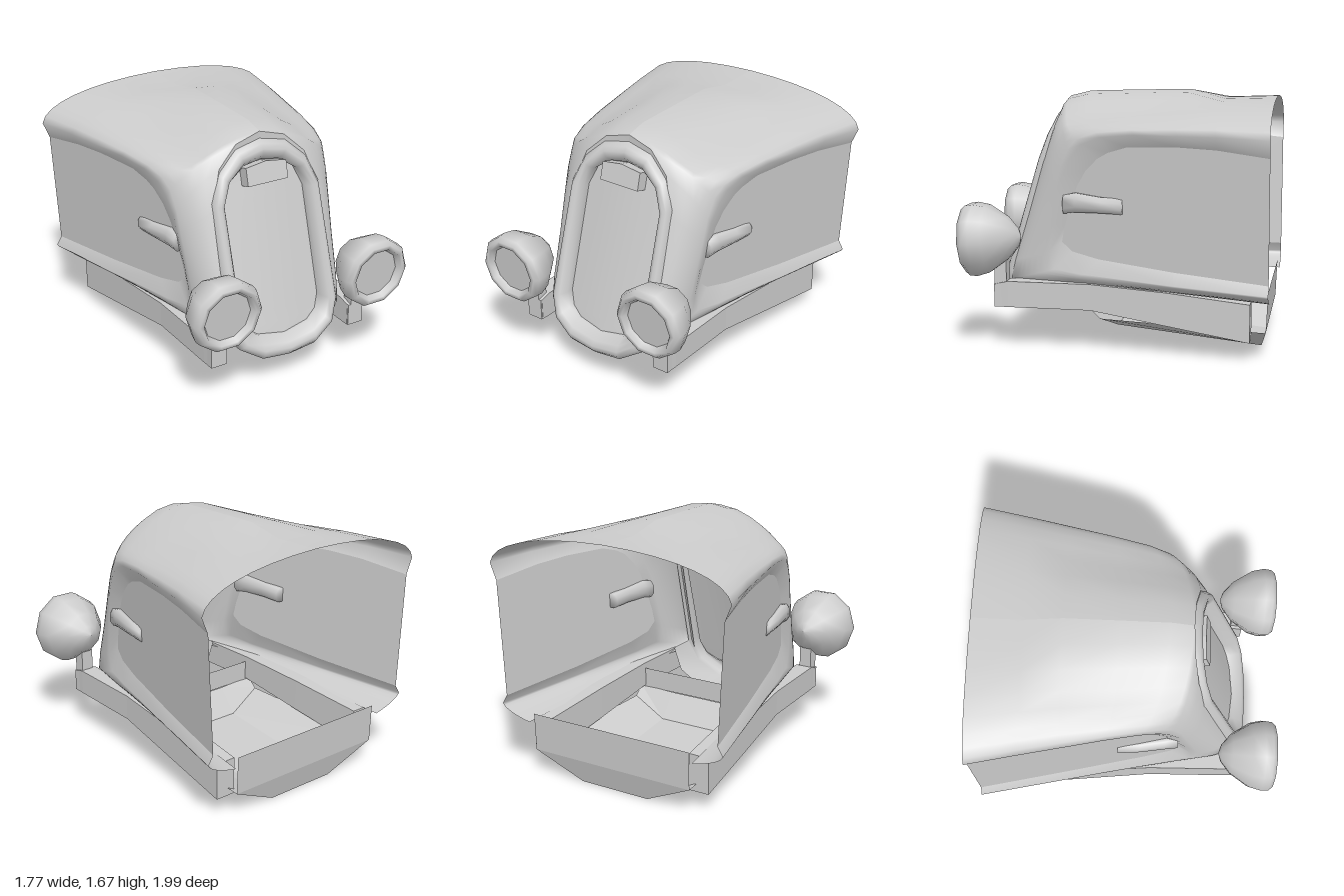
import * as THREE from 'three';

const mat = new THREE.MeshStandardMaterial({ color: 0xcccccc, side: THREE.DoubleSide });

function mesh(name, geometry) {
  const m = new THREE.Mesh(geometry, mat);
  m.name = name;
  return m;
}

function box(name, w, h, d, x, y, z) {
  const m = mesh(name, new THREE.BoxGeometry(w, h, d));
  m.position.set(x, y, z);
  return m;
}

// Skin a grid of cross-sections; each row is a list of [x, y, z]
function loft(rows, { closed = false, flat = false, caps = false } = {}) {
  const n = rows[0].length, index = [];
  for (let i = 0; i < rows.length - 1; i++) {
    for (let j = 0; j < (closed ? n : n - 1); j++) {
      const a = i * n + j, b = i * n + (j + 1) % n;
      index.push(a, b, a + n, b, b + n, a + n);
    }
  }
  if (caps) {
    const last = (rows.length - 1) * n;
    for (let j = 1; j < n - 1; j++) index.push(0, j + 1, j, last, last + j, last + j + 1);
  }
  let g = new THREE.BufferGeometry();
  g.setAttribute('position', new THREE.Float32BufferAttribute(rows.flat(2), 3));
  g.setIndex(index);
  if (flat) g = g.toNonIndexed();
  g.computeVertexNormals();
  return g;
}

const lerp = THREE.MathUtils.lerp;
const panelX = (z, y) => 0.625 - 0.215 * z - 0.05 * (1.3 - y); // side panel plane
const noseZ = (y) => 0.81 - 0.295 * (y - 0.29);               // leaning grille plane

// Hood columns around the side opening: outer edge x,y,z | ridge z,y | opening z,y
const columns = [
  [0, 1.63, -1, -1, 1.40, -1, 1.29],
  [0, 1.62, -0.67, -0.67, 1.41, -0.67, 1.33],
  [0, 1.60, -0.42, -0.42, 1.41, -0.42, 1.34],
  [0, 1.555, -0.05, -0.15, 1.41, -0.10, 1.33],
  [0, 1.525, 0.26, 0.07, 1.39, 0.03, 1.29],
  [0, 1.50, 0.40, 0.20, 1.34, 0.10, 1.25],
  [0.18, 1.57, 0.41, 0.27, 1.26, 0.18, 1.17],
  [0.32, 1.44, 0.44, 0.33, 1.14, 0.24, 1.07],
  [0.40, 1.20, 0.50, 0.36, 1.00, 0.28, 0.96],
  [0.41, 0.85, 0.60, 0.40, 0.82, 0.33, 0.80],
  [0.42, 0.55, 0.69, 0.43, 0.64, 0.35, 0.70],
  [0.42, 0.42, 0.72, 0.40, 0.52, 0.28, 0.64],
  [0.50, 0.42, 0.35, 0.20, 0.50, 0.10, 0.60],
  [0.56, 0.40, -0.35, -0.40, 0.47, -0.40, 0.55],
  [0.62, 0.36, -1, -1, 0.45, -1, 0.51],
];
const crown = [0, 0, 0.07, 0.108, 0.13, 0.12]; // raised centre of the first columns

function hoodHalf() {
  const rows = columns.map(([ox, oy, oz, bz, by, iz, iy], i) => {
    const o = new THREE.Vector3(ox, oy, oz);
    const b = new THREE.Vector3(panelX(bz, by) + 0.04, by, bz);
    const blend = (tx, ty, tz) => new THREE.Vector3(lerp(o.x, b.x, tx), lerp(o.y, b.y, ty), lerp(o.z, b.z, tz));
    // Broad shoulder over the top, softer corner around the nose
    const [c1, c2] = i < 6
      ? [blend(0.62, 0.02, 0.1), blend(0.97, 0.43, 0.55)]
      : [blend(0.52, 0.22, 0.14), blend(0.92, 0.6, 0.55)];
    const row = new THREE.CubicBezierCurve3(o, c1, c2, b).getPoints(8).map(({ x, y, z }) =>
      [x, y + (crown[i] || 0) * Math.max(0, 1 - (x / 0.43) ** 2), z]);
    row.push([panelX(iz, iy), iy, iz]);
    return row;
  });
  return mesh('hoodHalf', loft(rows));
}

// Front edge of the hood turned in to meet the grille frame
function hoodCollar() {
  const edge = columns.slice(5, 12).map(([x, y, z], i) => [x, i === 0 ? y + crown[5] : y, z]);
  return mesh('hoodCollar', loft([edge, edge.map(([x, y, z]) => [x * 0.94, y - 0.05, z])]));
}

// Flat panel filling the side opening
function sidePanel() {
  const loop = columns.map(([, , , , , z, y]) => [panelX(z, y), y, z]);
  const hub = loop.map(() => [panelX(-0.5, 0.9), 0.9, -0.5]);
  return mesh('sidePanel', loft([loop, hub], { closed: true }));
}

// Half outlines of the grille frame, top to bottom
const outer = [[0, 1.58], [0.19, 1.54], [0.33, 1.41], [0.40, 1.24], [0.42, 0.48], [0.36, 0.32], [0.2, 0.22], [0, 0.2]];
const inner = [[0, 1.44], [0.13, 1.42], [0.25, 1.34], [0.31, 1.21], [0.31, 0.5], [0.27, 0.41], [0.19, 0.36], [0, 0.33]];
const mirrorLoop = (half) => [...half, ...half.slice(1, -1).reverse().map(([x, y]) => [-x, y])];

function grille() {
  const g = new THREE.Group();
  g.name = 'grille';
  const a = mirrorLoop(outer), b = mirrorLoop(inner);
  // Rounded frame: blend from outer to inner outline, with depth
  const layers = [[0, -0.09], [0, -0.04], [0.22, -0.005], [0.45, 0.005], [0.72, -0.005], [1, -0.05], [1, -0.1]];
  g.add(mesh('grilleFrame', loft(layers.map(([t, d]) => a.map(([x, y], i) => {
    const py = lerp(y, b[i][1], t);
    return [lerp(x, b[i][0], t), py, noseZ(py) + d];
  })), { closed: true })));
  // Slightly bowed face
  g.add(mesh('grilleFace', loft(inner.map(([w, y]) => [-1, -0.5, 0, 0.5, 1].map((s) =>
    [s * w, y, noseZ(y) - 0.1 + 0.03 * (1 - (s * w / 0.31) ** 2)])))));
  // Apron running back under the nose
  const low = outer.slice(4);
  const under = [...low, ...low.slice(0, -1).reverse().map(([x, y]) => [-x, y])];
  g.add(mesh('noseApron', loft([
    under.map(([x, y]) => [x, y, noseZ(y) - 0.09]),
    under.map(([x, y]) => [x, y, 0.46]),
  ])));
  // Plain plate at the top of the face
  const plate = new THREE.Shape([[-0.15, -0.07], [0.15, -0.07], [0.15, 0.05], [0, 0.07], [-0.15, 0.05]]
    .map(([x, y]) => new THREE.Vector2(x, y)));
  const p = mesh('plate', new THREE.ExtrudeGeometry(plate, { depth: 0.08, bevelEnabled: false }));
  p.position.set(0, 1.36, 0.42);
  p.rotation.x = -0.25;
  g.add(p);
  return g;
}

function headlight() {
  const g = new THREE.Group();
  g.name = 'headlight';
  const bowl = [[0, -0.37], [0.06, -0.35], [0.14, -0.285], [0.225, -0.16], [0.245, -0.08], [0.24, -0.03],
    [0.215, 0], [0.185, 0], [0.165, -0.04]].map(([r, h]) => new THREE.Vector2(r, h));
  const shell = mesh('headlightBowl', new THREE.LatheGeometry(bowl, 10, Math.PI / 10));
  const lens = mesh('headlightLens', new THREE.CircleGeometry(0.166, 10));
  shell.rotation.x = Math.PI / 2;
  lens.position.z = -0.04;
  g.add(shell, lens);
  g.position.set(0.56, 0.705, 0.98);
  g.rotation.x = 0.07;
  return g;
}

// Chassis rail, kinked downward toward the rear
function rail() {
  const sections = [[0.78, 0.47, 0.585, 0.27, 0.42], [0.7, 0.47, 0.59, 0.27, 0.44], [0.15, 0.48, 0.6, 0.27, 0.44],
    [-0.35, 0.5, 0.635, 0.195, 0.41], [-0.88, 0.53, 0.67, 0.115, 0.36]];
  return mesh('chassisRail', loft(sections.map(([z, x0, x1, y0, y1]) =>
    [[x0, y0, z], [x1, y0, z], [x1, y1, z], [x0, y1, z]]), { closed: true, flat: true, caps: true }));
}

// Tapered horn-shaped vent passing through the side panel
function sideVent() {
  const rows = [[0.33, 0.95, 0.065, 0.55], [0.25, 0.965, 0.067, 0.565], [0.08, 0.955, 0.055, 0.59], [-0.065, 0.95, 0.055, 0.6]]
    .map(([z, y, ry, x]) => Array.from({ length: 8 }, (_, i) => {
      const t = (i + 0.5) / 8 * Math.PI * 2;
      return [x + Math.cos(t) * 0.045, y + Math.sin(t) * ry, z];
    }));
  return mesh('sideVent', loft(rows, { closed: true, caps: true }));
}

// Deep open tray under the engine, its upper sides standing inside the rails
function tray() {
  const g = new THREE.Group();
  g.name = 'engineTray';
  const sections = [[0.52, 0.265, 0.17, 0.26, 0.16], [0.52, 0.2, 0.1, 0.1, 0.03], [0.59, 0.165, -0.975, 0, -0.93]]
    .map(([w, sy, sz, fy, fz]) => [[-w, sy, sz], [-0.25, fy, fz], [0.25, fy, fz], [w, sy, sz]]);
  g.add(mesh('trayFloor', loft(sections, { flat: true })));
  // Rear wall, from the floor edge up to the rim
  const [a, b, c, d] = sections[2];
  g.add(mesh('trayBackWall', loft([[b, a, [-0.59, 0.42, -0.985]], [c, d, [0.59, 0.42, -0.985]]], { flat: true })));
  g.add(mesh('trayFrontWall', loft([[[-0.52, 0.26, 0.165], [0.52, 0.26, 0.165]], [[-0.5, 0.4, 0.165], [0.5, 0.4, 0.165]]])));
  for (const s of [-1, 1]) {
    g.add(mesh('traySide', loft([
      [[s * 0.52, 0.265, 0.165], [s * 0.5, 0.4, 0.165]],
      [[s * 0.585, 0.17, -0.88], [s * 0.585, 0.355, -0.88]],
    ])));
  }
  return g;
}

export function createModel() {
  const root = new THREE.Group();
  root.name = 'truckNose';
  const left = new THREE.Group();
  left.name = 'leftSide';
  left.add(hoodHalf(), hoodCollar(), sidePanel(), sideVent(), rail(), headlight(),
    box('headlightFoot', 0.115, 0.15, 0.1, 0.53, 0.345, 0.74),
    box('headlightPost', 0.085, 0.2, 0.08, 0.535, 0.48, 0.75));
  const right = left.clone();
  right.name = 'rightSide';
  right.scale.x = -1;
  root.add(left, right, grille(), tray());
  return root;
}
